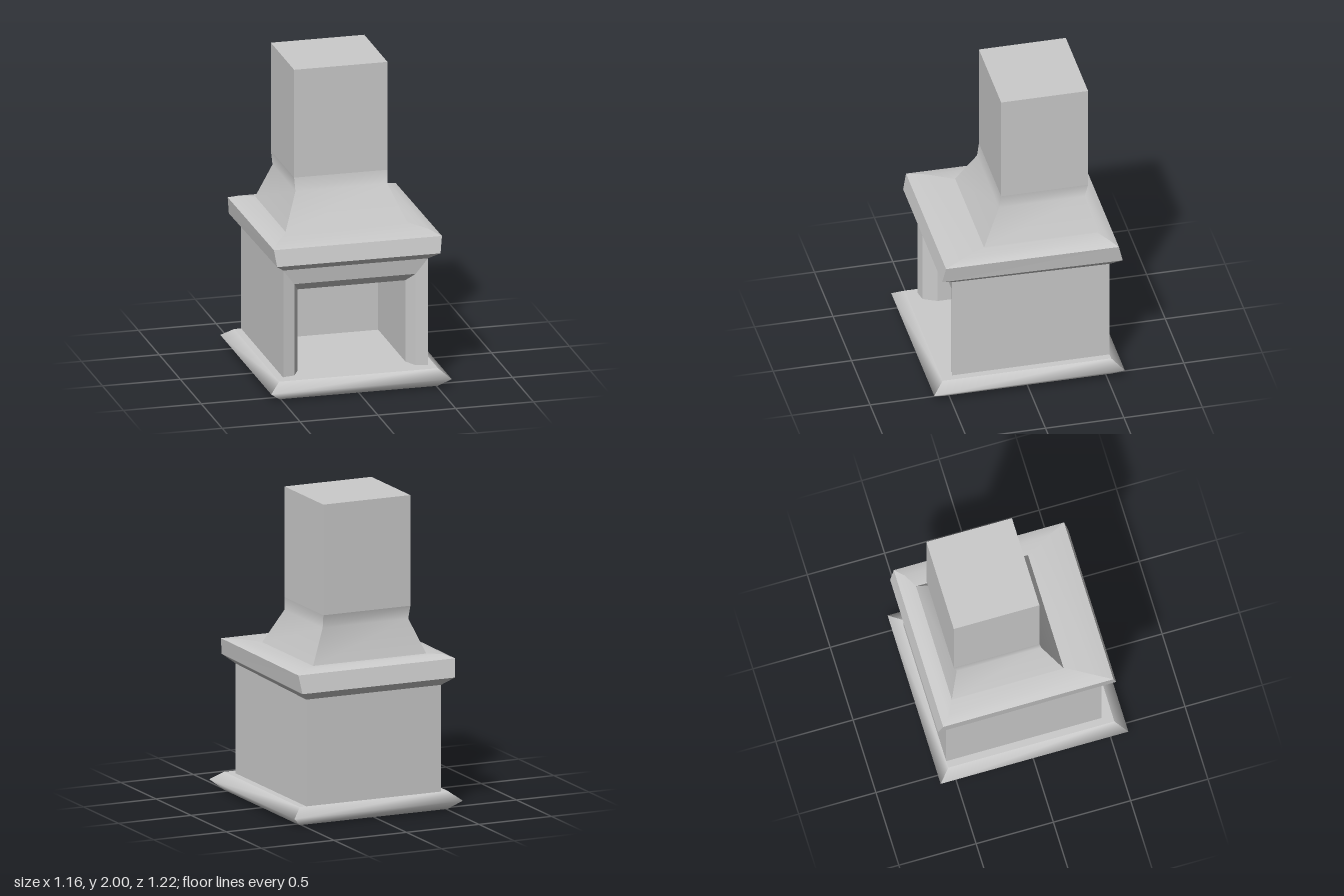
import * as THREE from 'three';

const material = new THREE.MeshStandardMaterial({ color: 0xcccccc });

// Quads between two polylines; smooth shades along their length
function strip(a, b, smooth) {
  const pos = [], index = [];
  a.forEach((p, k) => {
    pos.push(...p, ...b[k]);
    if (k < a.length - 1) {
      const n = 2 * k;
      index.push(n, n + 1, n + 3, n, n + 3, n + 2);
    }
  });
  let g = new THREE.BufferGeometry();
  g.setAttribute('position', new THREE.Float32BufferAttribute(pos, 3));
  g.setIndex(index);
  if (!smooth) g = g.toNonIndexed();
  g.computeVertexNormals();
  return new THREE.Mesh(g, material);
}

function named(name, ...meshes) {
  const group = new THREE.Group();
  group.name = name;
  meshes.forEach((m, i) => { m.name = `${name}Face${i + 1}`; });
  group.add(...meshes);
  return group;
}

// Four corners of a ring [halfWidth, zFront, zBack, yFront, yBack]
const corners = ([x, zf, zb, yf, yb = yf]) =>
  [[x, yf, zf], [x, yb, zb], [-x, yb, zb], [-x, yf, zf]];

// Rectangular shell through rings from bottom to top
function loft(name, rings, { smooth = false, top = false, bottom = false, sides = [0, 1, 2, 3] } = {}) {
  const rows = rings.map(corners);
  const line = (i) => rows.map((r) => r[i % 4]);
  const meshes = sides.map((i) => strip(line(i), line(i + 1), smooth));
  const cap = ([a, b, c, d]) => strip([a, d], [b, c], false);
  if (top) meshes.push(cap(rows[rows.length - 1]));
  if (bottom) meshes.push(cap([...rows[0]].reverse()));
  return named(name, ...meshes);
}

// Frame and firebox lining through sections [halfWidth, top, z], front to back
function lining(name, sections, floorY) {
  const rows = sections.map(([w, t, z]) => [[-w, floorY, z], [-w, t, z], [w, t, z], [w, floorY, z]]);
  const line = (i) => rows.map((r) => r[i]);
  const meshes = [0, 1, 2].map((i) => strip(line(i + 1), line(i), false));
  const [a, b, c, d] = rows[rows.length - 1];
  meshes.push(strip([a, b], [d, c], false)); // back wall
  meshes.push(strip(line(0), line(3), false)); // floor
  meshes[4].geometry.index?.array.reverse();
  meshes[4].material = new THREE.MeshStandardMaterial({ color: 0xcccccc, side: THREE.DoubleSide });
  return named(name, ...meshes);
}

export function createModel() {
  const model = new THREE.Group();
  model.name = 'fireplace';

  // Rounded plinth
  model.add(loft('base', [
    [0.51, 0.54, -0.535, 0],
    [0.58, 0.61, -0.605, 0.06],
    [0.51, 0.54, -0.535, 0.115],
  ], { smooth: true, top: true, bottom: true }));

  // Side and back walls, front left open
  model.add(loft('walls', [
    [0.465, 0.47, -0.535, 0.11],
    [0.465, 0.47, -0.535, 0.815, 0.795],
  ], { sides: [0, 1, 2] }));

  // Mitred frame, bevel and firebox
  model.add(lining('firebox', [
    [0.465, 0.815, 0.47],
    [0.39, 0.715, 0.455],
    [0.347, 0.65, 0.37],
    [0.347, 0.65, -0.28],
  ], 0.118));

  // Mantel slab, dipping slightly to the back
  model.add(loft('mantel', [
    [0.465, 0.47, -0.535, 0.815, 0.795],
    [0.525, 0.547, -0.605, 0.867, 0.85],
    [0.54, 0.525, -0.577, 0.972, 0.965],
  ]));
  model.add(loft('mantelTop', [
    [0.54, 0.525, -0.577, 0.972, 0.965],
    [0.48, 0.41, -0.525, 0.988],
    [0.38, 0.24, -0.47, 0.99],
  ], { smooth: true }));

  // Flared hood running into the chimney
  model.add(loft('hood', [
    [0.392, 0.25, -0.478, 0.985],
    [0.295, 0.13, -0.417, 1.21],
    [0.3, 0.117, -0.437, 1.295],
  ], { smooth: true }));
  model.add(loft('chimney', [
    [0.3, 0.117, -0.437, 1.295],
    [0.3, 0.117, -0.437, 2],
  ], { top: true }));

  return model;
}
